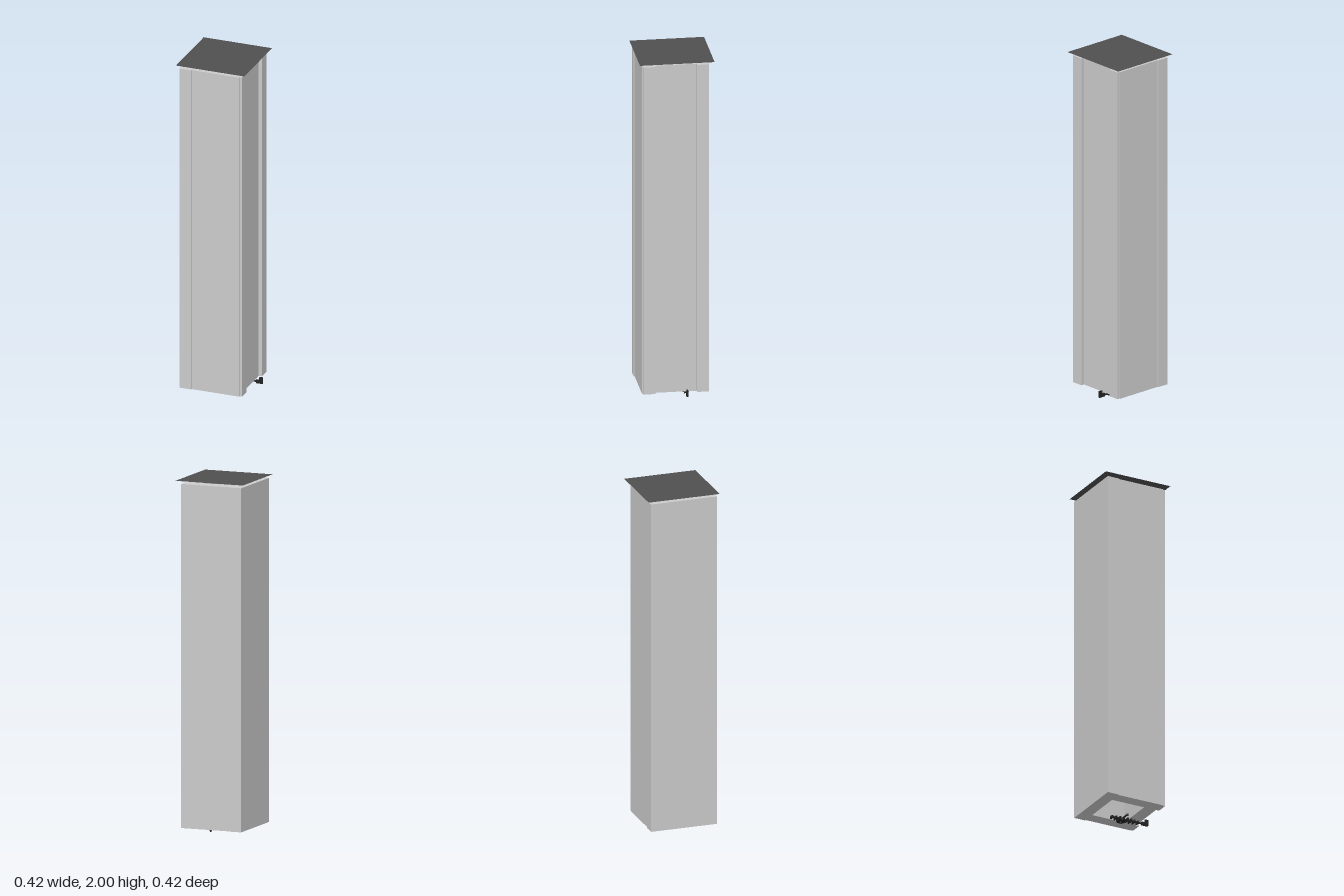
import * as THREE from 'three';

const grey = new THREE.MeshStandardMaterial({ color: 0xcccccc, flatShading: true });
const dark = new THREE.MeshStandardMaterial({ color: 0x505050, flatShading: true, side: THREE.DoubleSide });
const black = new THREE.MeshStandardMaterial({ color: 0x222222, flatShading: true });

function add(group, name, geometry, material, x = 0, y = 0, z = 0) {
  const mesh = new THREE.Mesh(geometry, material);
  mesh.name = name;
  mesh.position.set(x, y, z);
  group.add(mesh);
  return mesh;
}

// Plan points are given as [x, z]; the shape is drawn with y = -z
const plan = (points) => points.map(([x, z]) => new THREE.Vector2(x, -z));

// Hollow shaft with stepped front and back walls and a recess on its left side
function shaftGeometry() {
  const shape = new THREE.Shape(plan([
    [-0.19, 0.2], [-0.12, 0.2], [-0.12, 0.194], [0.165, 0.194], [0.165, 0.189], [0.18, 0.189],
    [0.18, 0.12], [0.16, 0.12], [0.16, -0.115], [0.18, -0.115],
    [0.18, -0.181], [0.165, -0.181], [0.165, -0.185], [-0.12, -0.185], [-0.12, -0.191], [-0.19, -0.191],
  ]));
  shape.holes.push(new THREE.Path(plan([
    [-0.12, 0.12], [-0.12, -0.11], [0.085, -0.11], [0.085, 0.12],
  ])));
  return new THREE.ExtrudeGeometry(shape, { depth: 1.95, bevelEnabled: false }).rotateX(-Math.PI / 2);
}

// Small latch below the shaft: bar, ribs, wheel and end plate
function latch() {
  const group = new THREE.Group();
  group.name = 'latch';
  add(group, 'latchBar', new THREE.BoxGeometry(0.22, 0.008, 0.008), black, 0.08, 0.022, -0.06);
  for (let i = 0; i < 8; i++) {
    const reach = 0.02 + 0.025 * Math.sin((Math.PI * (i + 0.5)) / 8);
    add(group, 'latchRib', new THREE.BoxGeometry(0.008, 0.016, reach), black, -0.022 + i * 0.023, 0.02, -0.06);
  }
  add(group, 'latchWheel', new THREE.CylinderGeometry(0.026, 0.026, 0.014, 12), black, 0.045, 0.021, -0.078);
  add(group, 'latchPin', new THREE.CylinderGeometry(0.004, 0.004, 0.03, 8), black, 0.045, 0.015, -0.078);
  add(group, 'latchStud', new THREE.CylinderGeometry(0.005, 0.005, 0.012, 8), black, 0.045, 0.024, 0);
  add(group, 'latchArm', new THREE.BoxGeometry(0.008, 0.006, 0.07), black, 0.045, 0.026, -0.032);
  add(group, 'endPlate', new THREE.BoxGeometry(0.04, 0.02, 0.01), black, 0.187, 0.022, -0.058);
  add(group, 'endTab', new THREE.BoxGeometry(0.02, 0.018, 0.008), black, 0.197, 0.041, -0.058);
  return group;
}

export function createModel() {
  const model = new THREE.Group();
  model.name = 'column';
  add(model, 'shaft', shaftGeometry(), grey, 0, 0.03, 0);
  // Thin cover sheet floating just above the shaft
  add(model, 'topPlate', new THREE.PlaneGeometry(0.411, 0.422).rotateX(-Math.PI / 2), dark, -0.003, 2, 0);
  model.add(latch());
  return model;
}
